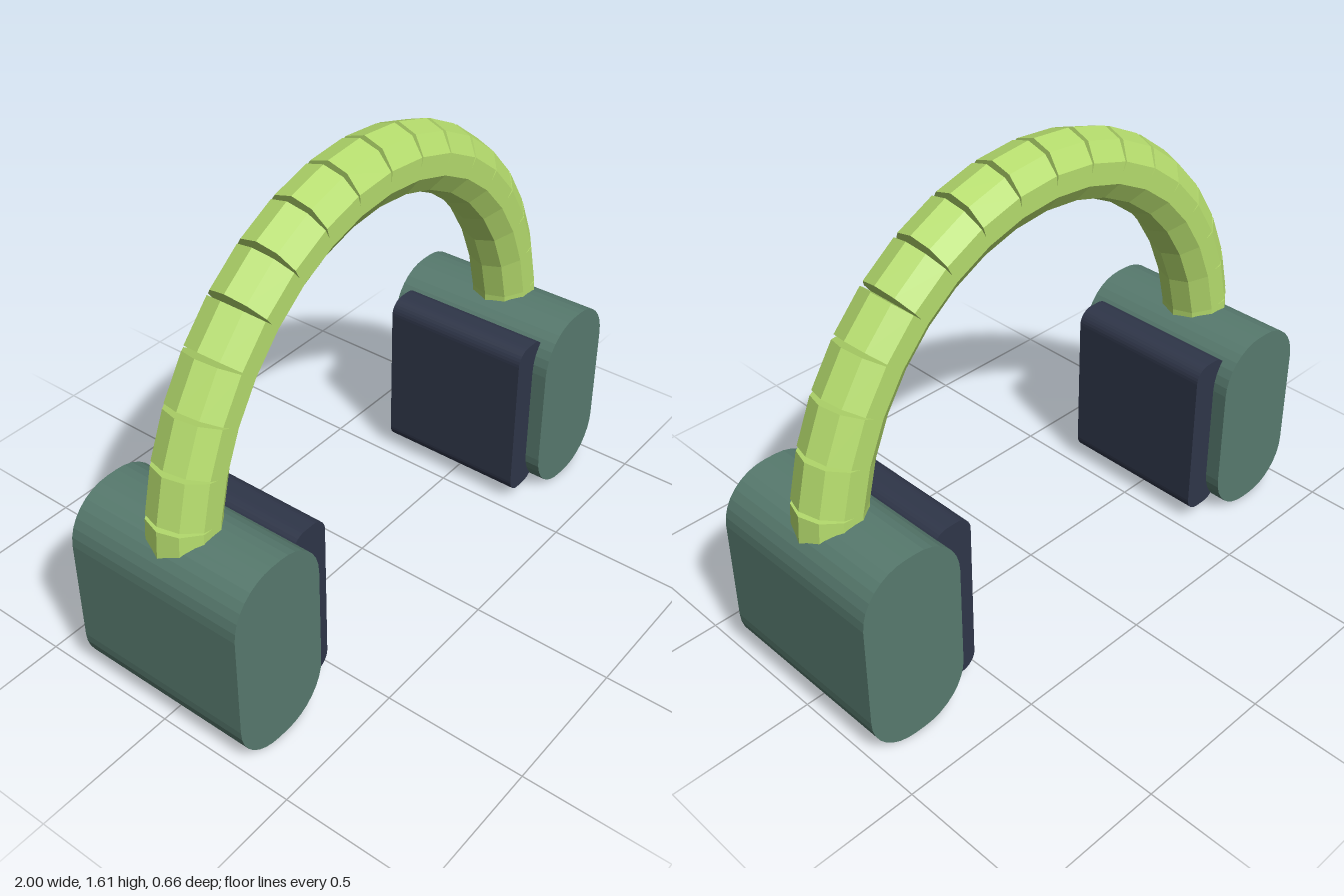
import * as THREE from 'three';

// Upright block with rounded edges running front to back
function roundedBlock(x0, x1, y0, y1, r, depth) {
  const s = new THREE.Shape();
  s.moveTo(x0 + r, y0);
  s.lineTo(x1 - r, y0);
  s.absarc(x1 - r, y0 + r, r, -Math.PI / 2, 0);
  s.lineTo(x1, y1 - r);
  s.absarc(x1 - r, y1 - r, r, 0, Math.PI / 2);
  s.lineTo(x0 + r, y1);
  s.absarc(x0 + r, y1 - r, r, Math.PI / 2, Math.PI);
  s.lineTo(x0, y0 + r);
  s.absarc(x0 + r, y0 + r, r, Math.PI, Math.PI * 1.5);
  const g = new THREE.ExtrudeGeometry(s, { depth, bevelEnabled: false, curveSegments: 4 });
  return g.translate(0, 0, -depth / 2);
}

export function createModel() {
  const model = new THREE.Group();
  model.name = 'headphones';

  const material = (name, color) => {
    const m = new THREE.MeshStandardMaterial({ color, flatShading: true });
    m.name = name;
    return m;
  };
  const lime = material('lime', 0xb5dc6d);
  const green = material('dusty green', 0x577a6e);
  const navy = material('dark navy', 0x2f3649);

  const add = (parent, name, geometry, mat) => {
    const mesh = new THREE.Mesh(geometry, mat);
    mesh.name = name;
    parent.add(mesh);
    return mesh;
  };

  // Ear cups with inner cushions, one per side
  for (const side of [1, -1]) {
    const ear = new THREE.Group();
    ear.name = side > 0 ? 'leftEar' : 'rightEar';
    const block = (a, b, ...rest) =>
      roundedBlock(Math.min(a * side, b * side), Math.max(a * side, b * side), ...rest);
    add(ear, 'earCup', block(0.628, 1, 0, 0.705, 0.167, 0.66), green);
    add(ear, 'earCushion', block(0.532, 0.68, 0.045, 0.665, 0.055, 0.55), navy);
    model.add(ear);
  }

  // Headband: straight ten-sided links along a half ellipse, open on the outside
  const band = new THREE.Group();
  band.name = 'headband';
  const links = 18;
  const point = (i) => {
    const a = (i / links) * Math.PI;
    return new THREE.Vector2(0.85 * Math.cos(a), 0.57 + 0.929 * Math.sin(a));
  };
  for (let i = 0; i < links; i++) {
    const p = point(i), q = point(i + 1);
    const g = new THREE.CylinderGeometry(0.1165, 0.1165, p.distanceTo(q), 10);
    g.rotateY(Math.PI / 2); // an edge faces outward
    const link = add(band, 'bandLink', g, lime);
    link.position.set((p.x + q.x) / 2, (p.y + q.y) / 2, 0);
    link.rotation.z = Math.atan2(q.y - p.y, q.x - p.x) - Math.PI / 2;
  }
  model.add(band);

  return model;
}
